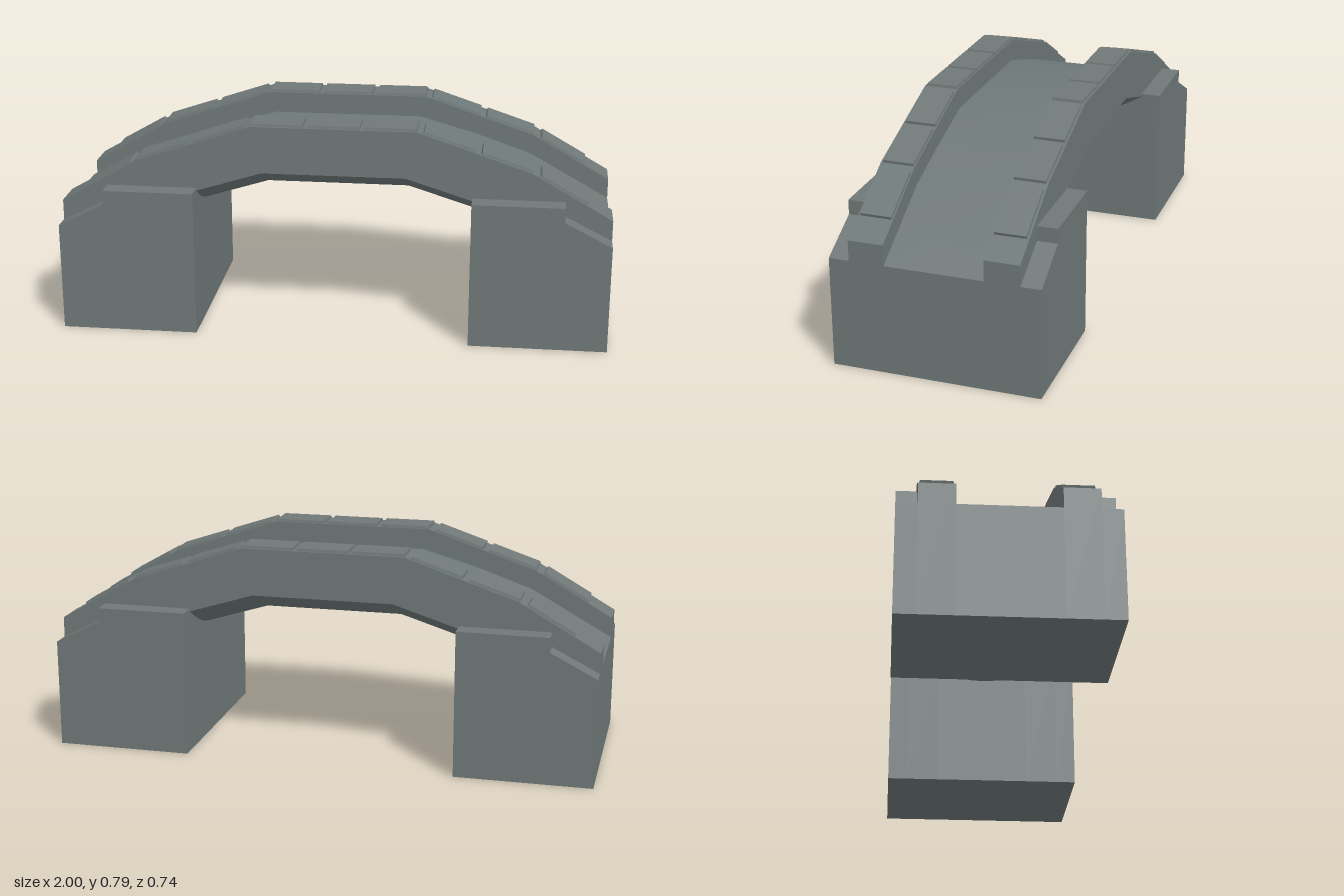
import * as THREE from 'three';
import { toCreasedNormals } from 'three/addons/utils/BufferGeometryUtils.js';

const stone = new THREE.MeshStandardMaterial({ color: 0x6f7878 });
stone.name = 'greyStone';

// Half profiles, from the crown outwards (x, y)
const WALL_TOP = [[0.3, 0.778], [0.51, 0.708], [0.71, 0.641], [1, 0.475]];
const DECK_TOP = [[0.28, 0.7], [0.5, 0.637], [0.7, 0.568], [1, 0.4]];
const SOFFIT = [[-0.5, 0.53], [-0.26, 0.605], [0.26, 0.605], [0.5, 0.53]];

function add(group, name, geometry) {
  const mesh = new THREE.Mesh(geometry, stone);
  mesh.name = name;
  group.add(mesh);
  return mesh;
}

// Extrude an outline along z between z0 and z1
function slab(points, z0, z1) {
  const shape = new THREE.Shape(points.map(([x, y]) => new THREE.Vector2(x, y)));
  const geo = new THREE.ExtrudeGeometry(shape, { depth: z1 - z0, bevelEnabled: false });
  return geo.translate(0, 0, z0);
}

// Full bridge outline: piers, soffit and a mirrored top
function bridgeOutline(top) {
  const left = top.map(([x, y]) => [-x, y]);
  return [[-1, 0], [-0.5, 0], ...SOFFIT, [0.5, 0], [1, 0], ...[...top].reverse(), ...left];
}

// Curved underside hanging between the two side walls
function bellyGeometry() {
  const n = 16, pos = [], index = [];
  for (const [x, y] of SOFFIT) {
    for (let j = 0; j <= n; j++) {
      const t = (j / n) * 2 - 1;
      pos.push(x, y - 0.1 * (1 - t * t), t * 0.3);
    }
  }
  for (let i = 0; i < SOFFIT.length - 1; i++) {
    for (let j = 0; j < n; j++) {
      const a = i * (n + 1) + j, b = a + n + 1;
      index.push(a, b, a + 1, b, b + 1, a + 1);
    }
  }
  const geo = new THREE.BufferGeometry();
  geo.setAttribute('position', new THREE.Float32BufferAttribute(pos, 3));
  geo.setIndex(index);
  geo.computeVertexNormals();
  return geo;
}

// Coping stone with a slightly narrowed top
function copingGeometry(length) {
  const w = 0.118, h = 0.022, inset = 0.004;
  const geo = new THREE.BoxGeometry(length, h, w);
  const p = geo.attributes.position;
  for (let i = 0; i < p.count; i++) {
    if (p.getY(i) > 0) {
      p.setX(i, p.getX(i) - Math.sign(p.getX(i)) * inset);
      p.setZ(i, p.getZ(i) - Math.sign(p.getZ(i)) * inset);
    }
  }
  geo.computeVertexNormals();
  return geo;
}

function wallHeight(x) {
  const pts = [[0, 0.778], ...WALL_TOP];
  const i = Math.max(1, pts.findIndex(([px]) => px >= x));
  const [x0, y0] = pts[i - 1], [x1, y1] = pts[i];
  return y0 + ((x - x0) / (x1 - x0)) * (y1 - y0);
}

export function createModel() {
  const model = new THREE.Group();
  model.name = 'archBridge';

  // Walkway with a smoothly rising surface
  add(model, 'deck', toCreasedNormals(slab(bridgeOutline(DECK_TOP), -0.175, 0.175), 0.5));
  add(model, 'archUnderside', bellyGeometry());

  for (const side of [-1, 1]) {
    // Parapet walls
    const [z0, z1] = side > 0 ? [0.175, 0.3] : [-0.3, -0.175];
    add(model, 'parapet', slab(bridgeOutline(WALL_TOP), z0, z1));

    // Stepped shoulders widening the abutments
    const shoulder = [[0.5, 0], [1, 0], [1, 0.4], [0.83, 0.487], [0.83, 0.54], [0.5, 0.54]];
    const [s0, s1] = side > 0 ? [0.3, 0.372] : [-0.372, -0.3];
    add(model, 'abutmentShoulder', slab(shoulder, s0, s1));
    add(model, 'abutmentShoulder',
      slab(shoulder.map(([x, y]) => [-x, y]).reverse(), s0, s1));

    // Coping stones along each parapet
    const spans = [[0.108, 0.302], [0.318, 0.508], [0.525, 0.713], [0.735, 0.91]];
    const z = side * 0.236;
    add(model, 'copingStone', copingGeometry(0.195)).position.set(0, 0.777, z);
    for (const [a, b] of spans) {
      const ya = wallHeight(a + 0.01), yb = wallHeight(b - 0.01);
      const angle = Math.atan2(yb - ya, b - a - 0.02);
      for (const end of [-1, 1]) {
        const stoneMesh = add(model, 'copingStone', copingGeometry((b - a) / Math.cos(angle)));
        stoneMesh.position.set(end * (a + b) / 2, (ya + yb) / 2 - 0.001, z);
        stoneMesh.rotation.z = end * angle;
      }
    }
  }
  return model;
}
